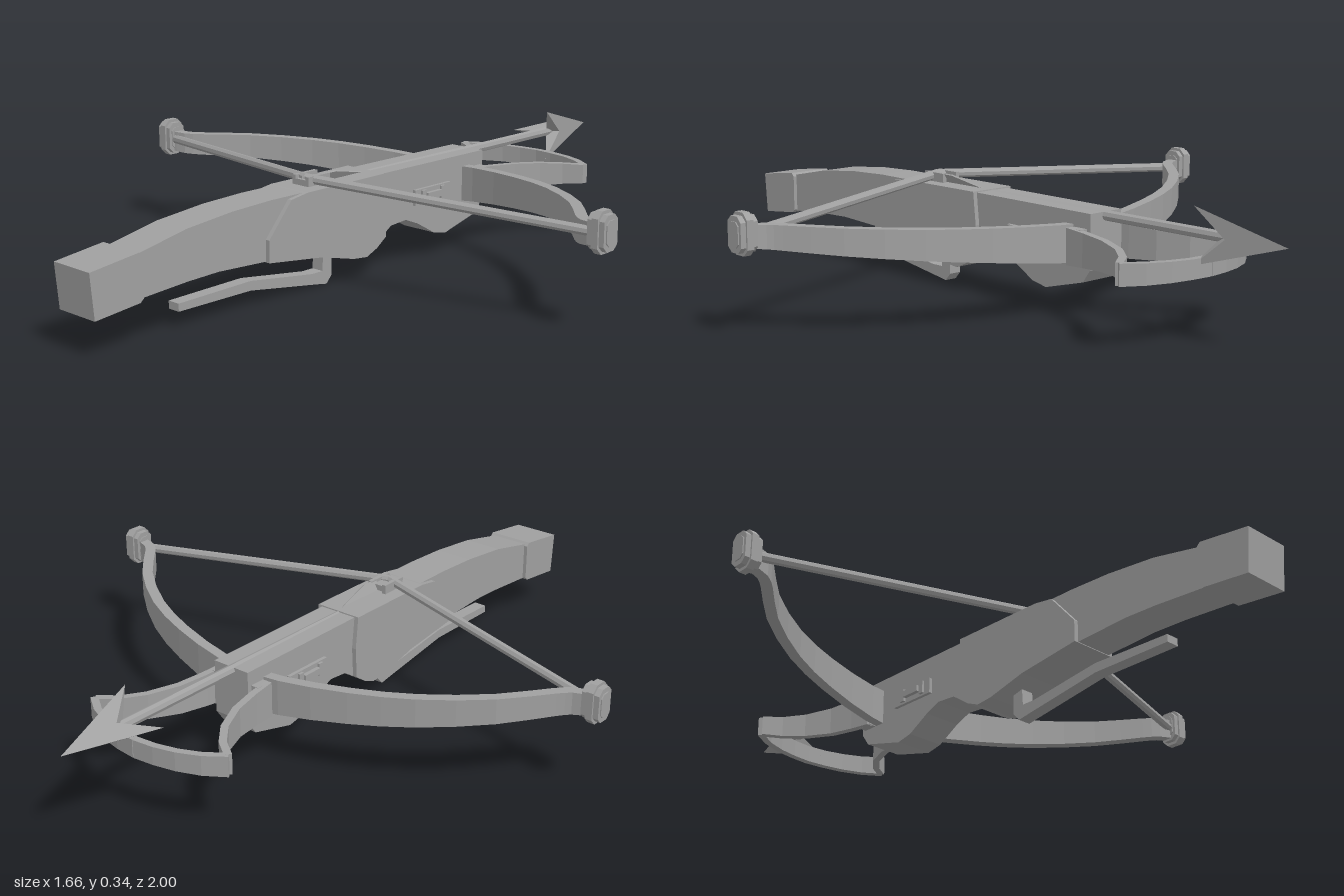
import * as THREE from 'three';

const grey = new THREE.MeshStandardMaterial({ color: 0xa0a0a0, flatShading: true, side: THREE.DoubleSide });
grey.name = 'plain grey';

function add(parent, name, geometry) {
  const mesh = new THREE.Mesh(geometry, grey);
  mesh.name = name;
  parent.add(mesh);
  return mesh;
}

// Side outline as [z, y] points, extruded evenly across x
function slab(points, width) {
  const shape = new THREE.Shape(points.map(p => new THREE.Vector2(p[0], p[1])));
  const g = new THREE.ExtrudeGeometry(shape, { depth: width, bevelEnabled: false });
  return g.rotateY(-Math.PI / 2).translate(width / 2, 0, 0);
}

// Upright strip following stations [x, z, bottom, top, thickness]
function strip(stations) {
  const pos = [], idx = [];
  stations.forEach(([x, z, lo, hi, t], i) => {
    const a = stations[Math.max(i - 1, 0)], b = stations[Math.min(i + 1, stations.length - 1)];
    const dx = b[0] - a[0], dz = b[1] - a[1], l = Math.hypot(dx, dz);
    const nx = -dz / l * t / 2, nz = dx / l * t / 2;
    pos.push(x + nx, lo, z + nz, x + nx, hi, z + nz, x - nx, hi, z - nz, x - nx, lo, z - nz);
    if (i === 0) return;
    for (let k = 0; k < 4; k++) {
      const p = (i - 1) * 4 + k, q = (i - 1) * 4 + (k + 1) % 4;
      idx.push(p, q, p + 4, q, q + 4, p + 4);
    }
  });
  const e = (stations.length - 1) * 4;
  idx.push(0, 2, 1, 0, 3, 2, e, e + 1, e + 2, e, e + 2, e + 3);
  const g = new THREE.BufferGeometry();
  g.setAttribute('position', new THREE.Float32BufferAttribute(pos, 3));
  g.setIndex(idx);
  const flat = g.toNonIndexed();
  flat.computeVertexNormals();
  return flat;
}

// Round bar between two points
function bar(from, to, radius, sides = 8) {
  const a = new THREE.Vector3(...from), b = new THREE.Vector3(...to), d = b.clone().sub(a);
  const g = new THREE.CylinderGeometry(radius, radius, d.length(), sides);
  g.applyQuaternion(new THREE.Quaternion().setFromUnitVectors(new THREE.Vector3(0, 1, 0), d.normalize()));
  return g.translate((a.x + b.x) / 2, (a.y + b.y) / 2, (a.z + b.z) / 2);
}

const boltY = 0.277;
const around = (i, r) => [Math.cos(Math.PI / 3 * i) * r, boltY + Math.sin(Math.PI / 3 * i) * r];

// Three-barbed head with a notched back
function headGeometry() {
  const tip = [0, boltY, -0.995], back = [0, boltY, -0.8], pos = [];
  const rim = i => i % 2 ? [...around(i, 0.085), -0.745] : [...around(i, 0.028), -0.83];
  for (let i = 0; i < 6; i++) pos.push(...tip, ...rim(i + 1), ...rim(i), ...back, ...rim(i), ...rim(i + 1));
  const g = new THREE.BufferGeometry();
  g.setAttribute('position', new THREE.Float32BufferAttribute(pos, 3));
  g.computeVertexNormals();
  return g;
}

export function createModel() {
  const model = new THREE.Group();
  model.name = 'crossbow';

  // Stock, cheek panels and butt
  add(model, 'stock', slab([
    [0.86, 0.237], [0.7, 0.27], [0.55, 0.285], [0.42, 0.29], [-0.42, 0.287],
    [-0.42, 0.14], [-0.395, 0.105], [-0.26, 0.07], [-0.21, 0.08], [-0.14, 0.12], [-0.09, 0.14],
    [-0.03, 0.135], [0.04, 0.09], [0.08, 0.073], [0.13, 0.078], [0.25, 0.108], [0.44, 0.132],
    [0.6, 0.14], [0.7, 0.137], [0.86, 0.126]], 0.114));
  add(model, 'cheekPanel', slab([
    [0.44, 0.19], [0.36, 0.282], [0.3, 0.291], [0.01, 0.292], [0.0, 0.2], [0.005, 0.113],
    [0.04, 0.088], [0.08, 0.071], [0.13, 0.076], [0.25, 0.106], [0.44, 0.13]], 0.14));
  add(model, 'buttCap', slab([
    [1.0, 0.227], [0.855, 0.245], [0.845, 0.235], [0.845, 0.13], [0.855, 0.121], [0.99, 0.107]], 0.136));

  // Trigger lever
  add(model, 'triggerLever', slab([
    [0.165, 0.1], [0.165, 0.03], [0.185, 0.008], [0.22, 0.014], [0.46, 0.051], [0.7, 0.051],
    [0.7, 0.072], [0.46, 0.077], [0.24, 0.047], [0.2, 0.047], [0.197, 0.1]], 0.038));

  // Release nut and its prongs
  add(model, 'releaseNut', new THREE.BoxGeometry(0.05, 0.025, 0.07)).position.set(0, 0.295, 0.225);
  for (const s of [-1, 1]) {
    add(model, 'nutProng', new THREE.BoxGeometry(0.012, 0.03, 0.08)).position.set(s * 0.024, 0.302, 0.22);
  }

  for (const s of [-1, 1]) {
    // Bow limb
    const path = new THREE.CatmullRomCurve3([[0, -0.345], [0.1, -0.343], [0.29, -0.298], [0.45, -0.232],
      [0.61, -0.12], [0.71, -0.01], [0.745, 0.02], [0.8, 0.032]].map(p => new THREE.Vector3(p[0], 0, p[1])));
    const stations = path.getPoints(14).map(p => {
      const t = p.x / 0.8;
      return [s * p.x, p.z, 0.145 + 0.09 * t, 0.25 + 0.043 * t, 0.03];
    });
    add(model, 'bowLimb', strip(stations));

    // Tip spool: long eight-sided plates of differing size
    const tip = new THREE.Group();
    tip.name = 'limbTip';
    tip.position.set(s * 0.803, 0.272, 0.032);
    for (const [x, w, k] of [[0, 0.02, 1], [-0.017, 0.016, 0.85], [0.017, 0.016, 0.85], [0, 0.056, 0.6]]) {
      const y = 0.054 * k, z = 0.033 * k, c = 0.017 * k;
      const plate = add(tip, 'tipPlate', slab([[z, y - c], [z - c, y], [c - z, y], [-z, y - c],
        [-z, c - y], [c - z, -y], [z - c, -y], [z, c - y]], w));
      plate.position.x = x;
    }
    model.add(tip);

    // Bowstring half
    add(model, 'bowstring', bar([s * 0.8, 0.267, 0.032], [0, 0.308, 0.24], 0.013));

    // Foot stirrup half
    add(model, 'stirrupSide', strip([[0.078, -0.365, 0.15, 0.248], [0.085, -0.43, 0.154, 0.244],
      [0.1, -0.51, 0.159, 0.239], [0.135, -0.59, 0.165, 0.234], [0.18, -0.645, 0.169, 0.23],
      [0.23, -0.68, 0.172, 0.228]].map(p => [s * p[0], ...p.slice(1), 0.02])));
    add(model, 'stirrupFront', strip([[0.233, -0.68, 0.172, 0.228], [0.18, -0.717, 0.173, 0.227],
      [0.12, -0.742, 0.174, 0.226], [0.06, -0.756, 0.175, 0.225],
      [0, -0.762, 0.175, 0.225]].map(p => [s * p[0], ...p.slice(1), 0.02])));
    add(model, 'stirrupMount', new THREE.BoxGeometry(0.03, 0.095, 0.045)).position.set(s * 0.066, 0.199, -0.385);

    // Side bracket with a raised clasp
    add(model, 'sideBracket', new THREE.BoxGeometry(0.014, 0.045, 0.15)).position.set(s * 0.06, 0.198, -0.195);
    add(model, 'bracketClasp', new THREE.BoxGeometry(0.022, 0.018, 0.06)).position.set(s * 0.068, 0.199, -0.19);
    for (const z of [-0.23, -0.15]) {
      add(model, 'bracketPin', new THREE.BoxGeometry(0.016, 0.036, 0.016)).position.set(s * 0.066, 0.199, z);
    }
  }

  // Bolt shaft, head and fletching
  add(model, 'boltShaft', bar([0, boltY, 0.22], [0, boltY, -0.82], 0.014));
  add(model, 'boltHead', headGeometry());
  for (const i of [1, 3, 5]) {
    const fin = add(model, 'fletching', slab([[0.01, 0.01], [0.15, 0.045], [0.2, 0.045], [0.2, 0]], 0.005));
    fin.position.y = boltY;
    fin.rotation.z = Math.PI / 3 * i - Math.PI / 2;
  }
  return model;
}
